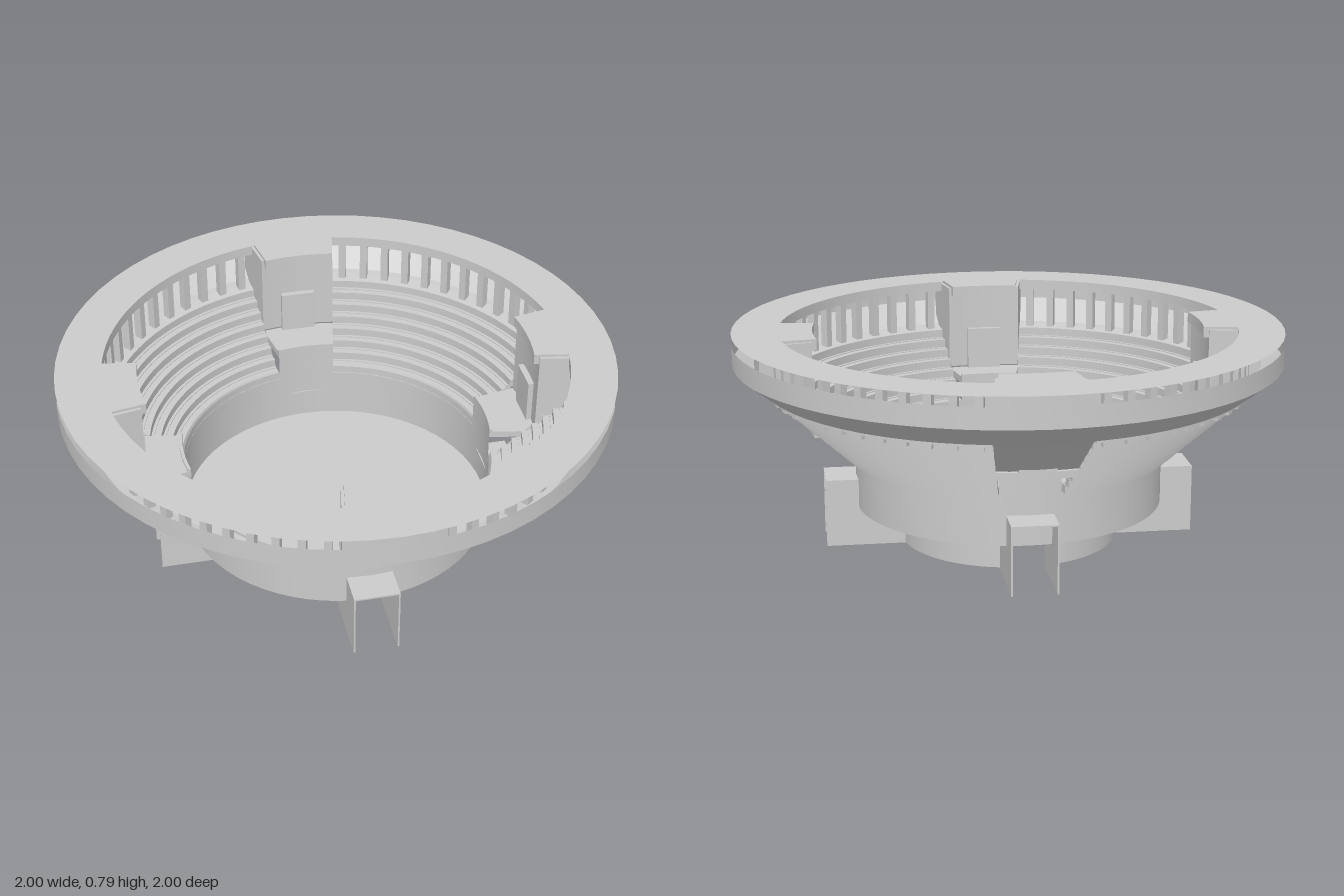
import * as THREE from 'three';
import { toCreasedNormals } from 'three/addons/utils/BufferGeometryUtils.js';

const material = new THREE.MeshStandardMaterial({ color: 0xcccccc, side: THREE.DoubleSide });
const QUARTER = Math.PI / 2;
const GATE = 0.192; // half angle of a gate sector

function add(parent, name, geometry) {
  const mesh = new THREE.Mesh(geometry, material);
  mesh.name = name;
  parent.add(mesh);
  return mesh;
}

// Revolves [radius, height] points around y from angle a0 to a1 (0 faces +z).
function revolve(points, a0 = 0, a1 = Math.PI * 2, segments = 64) {
  const profile = points.map(([r, y]) => new THREE.Vector2(r, y));
  return toCreasedNormals(new THREE.LatheGeometry(profile, segments, a0, a1 - a0), 0.4);
}

// Revolved solid with a closed profile and a flat cap at each end.
function sector(parent, name, points, a0, a1, segments) {
  const group = new THREE.Group();
  group.name = name;
  parent.add(group);
  add(group, name + 'Body', revolve([...points, points[0]], a0, a1, segments));
  const shape = new THREE.Shape(points.map(([r, y]) => new THREE.Vector2(r, y)));
  for (const a of [a0, a1]) {
    add(group, name + 'End', new THREE.ShapeGeometry(shape).rotateY(a - QUARTER));
  }
}

function box(parent, name, w, h, d, x, y, z) {
  return add(parent, name, new THREE.BoxGeometry(w, h, d).translate(x, y, z));
}

// Thin stepped slab: treads on top, matching steps underneath.
function stairProfile() {
  const steps = 7, run = 0.036, rise = 0.033;
  const top = [], under = [];
  for (let i = 0; i < steps; i++) {
    top.push([0.575 + run * i, 0.36 + rise * i], [0.575 + run * (i + 1), 0.36 + rise * i]);
    under.push([0.564 + run * i, 0.33 + rise * i], [0.6 + run * i, 0.33 + rise * i]);
  }
  const y = 0.36 + rise * steps;
  top.push([0.827, y], [0.89, y + 0.01]);
  under.push([0.816, y - 0.03], [0.856, y - 0.03], [0.856, y], [0.89, y]);
  return [...top, ...under.reverse()];
}

// One seating quarter between two gates, with its colonnade.
function createStand() {
  const stand = new THREE.Group();
  stand.name = 'stand';
  const a0 = GATE, a1 = QUARTER - GATE;
  sector(stand, 'seatingSteps', stairProfile(), a0, a1, 18);
  sector(stand, 'roofLip', [[0.835, 0.75], [0.865, 0.75], [0.865, 0.788], [0.835, 0.788]], a0, a1, 18);
  const count = 12;
  for (let i = 0; i < count; i++) {
    const a = a0 + (a1 - a0) * (i + 0.5) / count;
    box(stand, 'column', 0.028, 0.19, 0.03, 0, 0.665, 0.86).rotation.y = a;
  }
  return stand;
}

// One gate tower with its ledge, and the covered passage at ground level.
function createGate() {
  const gate = new THREE.Group();
  gate.name = 'gate';
  sector(gate, 'tower', [[0.73, 0.46], [0.92, 0.64], [0.92, 0.78], [0.73, 0.78]], -GATE, GATE, 6);
  sector(gate, 'towerRoof', [[0.71, 0.75], [0.86, 0.75], [0.86, 0.79], [0.71, 0.79]], -0.178, 0.178, 6);
  sector(gate, 'ledge', [[0.565, 0.43], [0.73, 0.43], [0.73, 0.455], [0.565, 0.455]], -GATE, GATE, 6);
  sector(gate, 'ledgeKerb', [[0.565, 0.455], [0.577, 0.455], [0.577, 0.465], [0.565, 0.465]], -GATE, GATE, 6);
  add(gate, 'ledgeFront', revolve([[0.565, 0.33], [0.565, 0.43]], -GATE, GATE, 6));
  box(gate, 'door', 0.13, 0.16, 0.03, 0, 0.535, 0.722);
  // Passage walls run below the arena floor, its roof only outside the drum.
  for (const side of [-1, 1]) {
    box(gate, 'passageWall', 0.006, 0.14, 0.288, side * 0.08, 0.07, 0.536);
    box(gate, 'passageWallOuter', 0.006, 0.11, 0.12, side * 0.08, 0.195, 0.62);
  }
  box(gate, 'passageRoof', 0.166, 0.006, 0.12, 0, 0.247, 0.62);
  return gate;
}

export function createModel() {
  const model = new THREE.Group();
  model.name = 'arena';

  // Drum and arena floor
  add(model, 'drum', revolve([[0.565, 0.14], [0.565, 0.36]]));
  add(model, 'floor', new THREE.CircleGeometry(0.565, 64).rotateX(-QUARTER).translate(0, 0.14, 0));

  // Outer shell and flat roof, with an open slit between them
  add(model, 'outerRim', revolve([[0.875, 0.6], [0.9, 0.602], [1, 0.68], [1, 0.755]]));
  add(model, 'roof', new THREE.RingGeometry(0.835, 1, 64).rotateX(-QUARTER).translate(0, 0.79, 0));

  for (let i = 0; i < 4; i++) {
    const quarter = new THREE.Group();
    quarter.name = 'quarter';
    quarter.rotation.y = i * QUARTER;
    quarter.add(createStand(), createGate());
    // Curved foundation wall between two passages
    const a = Math.asin(0.08 / 0.4);
    add(quarter, 'foundationWall', revolve([[0.4, 0], [0.4, 0.14]], a, QUARTER - a, 14));
    model.add(quarter);
  }
  return model;
}
